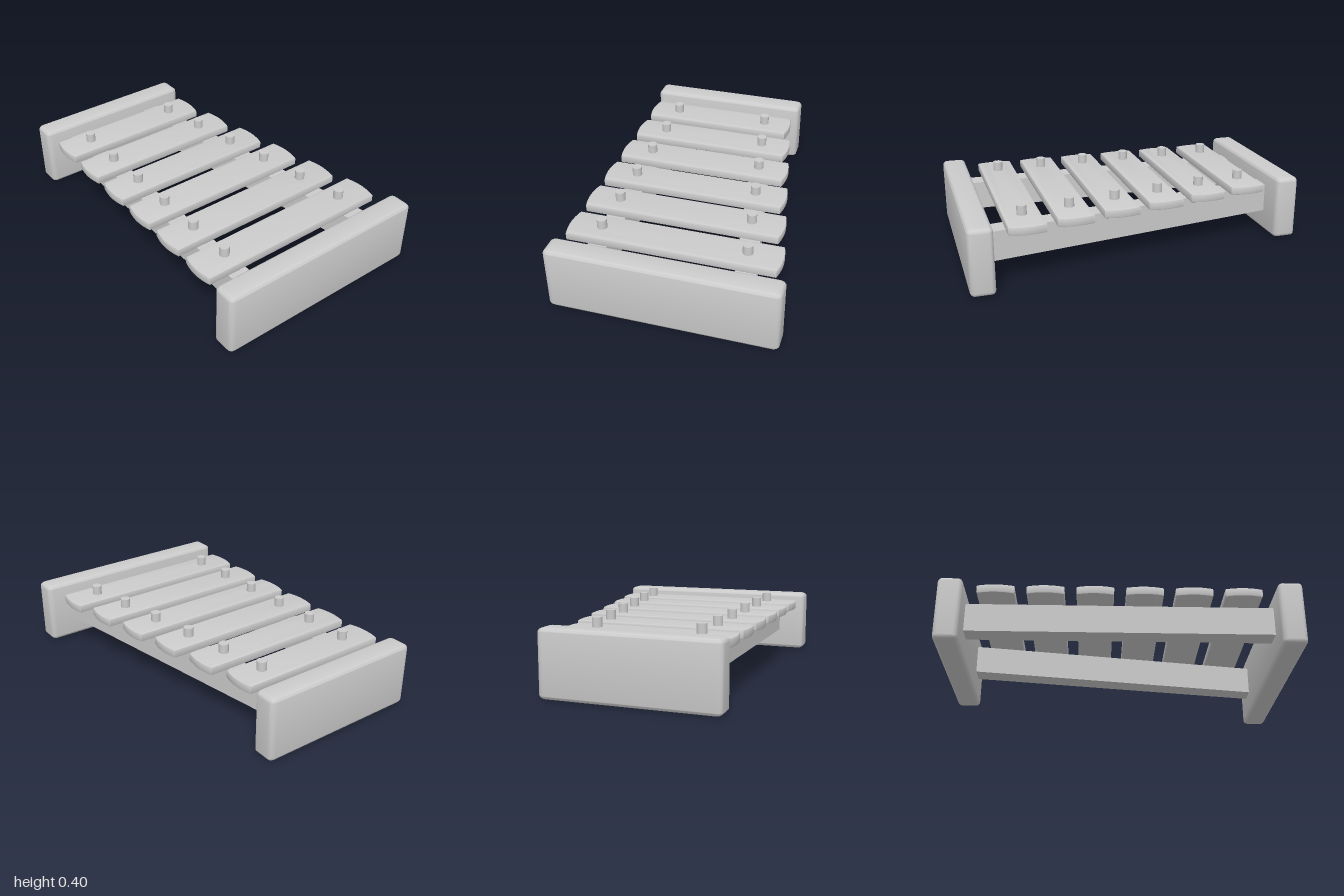
import * as THREE from 'three';
import { toCreasedNormals } from 'three/addons/utils/BufferGeometryUtils.js';

const material = new THREE.MeshStandardMaterial({ color: 0xcccccc });

function add(parent, name, geometry, x = 0, y = 0, z = 0) {
  const mesh = new THREE.Mesh(geometry, material);
  mesh.name = name;
  mesh.position.set(x, y, z);
  parent.add(mesh);
  return mesh;
}

// Rectangle centred on the origin with small rounded corners
function roundedRect(w, h, r) {
  const s = new THREE.Shape();
  const a = w / 2, b = h / 2;
  s.absarc(a - r, b - r, r, 0, Math.PI / 2);
  s.absarc(-a + r, b - r, r, Math.PI / 2, Math.PI);
  s.absarc(-a + r, -b + r, r, Math.PI, Math.PI * 1.5);
  s.absarc(a - r, -b + r, r, Math.PI * 1.5, Math.PI * 2);
  s.closePath();
  return s;
}

// End board: cross-section run along x, softly rounded towards both ends
function boardGeometry(length) {
  const soft = 0.035;
  const g = new THREE.ExtrudeGeometry(roundedRect(0.137, 0.375, 0.026), {
    depth: length - 2 * soft, curveSegments: 4,
    bevelThickness: soft, bevelSize: 0.025, bevelOffset: -0.025, bevelSegments: 4
  });
  g.rotateY(Math.PI / 2);
  g.center();
  return toCreasedNormals(g, 0.6);
}

// Sounding bar: plank with gently bowed ends and a small rounded edge
function barGeometry(length) {
  const a = length / 2, b = 0.103, bow = 0.016, edge = 0.008;
  const s = new THREE.Shape();
  s.moveTo(-a + bow, -b);
  s.lineTo(a - bow, -b);
  s.quadraticCurveTo(a + bow, 0, a - bow, b);
  s.lineTo(-a + bow, b);
  s.quadraticCurveTo(-a - bow, 0, -a + bow, -b);
  const g = new THREE.ExtrudeGeometry(s, {
    depth: 0.05 - 2 * edge, curveSegments: 10,
    bevelThickness: edge, bevelSize: edge, bevelOffset: -edge, bevelSegments: 2
  });
  g.rotateX(-Math.PI / 2);
  g.center();
  return toCreasedNormals(g, 0.6);
}

// Rail: box sheared so its centre line follows x = slope * z
function railGeometry(width, slope) {
  const g = new THREE.BoxGeometry(width, 0.167, 1.76);
  const p = g.attributes.position;
  for (let i = 0; i < p.count; i++) p.setX(i, p.getX(i) + slope * p.getZ(i));
  g.computeVertexNormals();
  return g;
}

export function createModel() {
  const model = new THREE.Group();
  model.name = 'xylophone';

  // End boards, the front one longer
  add(model, 'frontBoard', boardGeometry(1.27), 0, 0.1875, 0.9315);
  add(model, 'backBoard', boardGeometry(0.99), -0.14, 0.1875, -0.9315);

  // Straight rail and slanted rail
  add(model, 'rightRail', railGeometry(0.111, 0), -0.42, 0.2085, 0);
  add(model, 'leftRail', railGeometry(0.115, 0.163), 0.275, 0.2085, 0);

  // Bars, growing towards the front, each held by two pegs
  const peg = new THREE.CylinderGeometry(0.028, 0.028, 0.1, 20);
  const barLeft = -0.614;
  for (let i = 0; i < 6; i++) {
    const z = -0.685 + i * 0.2725;
    const barRight = 0.332 + i * 0.0495;
    const bar = new THREE.Group();
    bar.name = `bar${i + 1}`;
    bar.position.z = z;
    add(bar, 'plank', barGeometry(barRight - barLeft), (barLeft + barRight) / 2, 0.318, 0);
    add(bar, 'rightPeg', peg, -0.427, 0.347, 0);
    add(bar, 'leftPeg', peg, 0.162 + i * 0.0452, 0.347, 0);
    model.add(bar);
  }
  return model;
}
